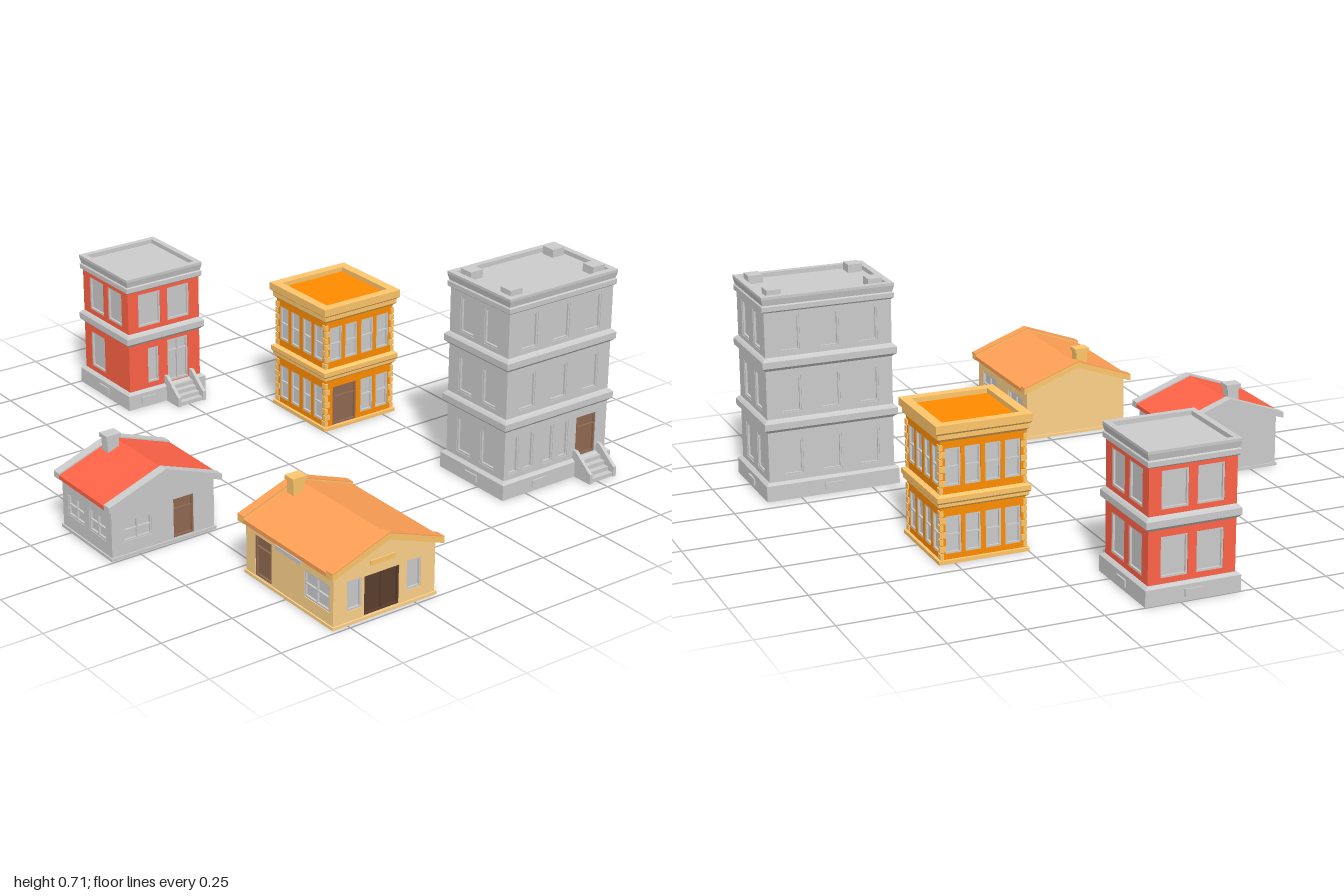
import * as THREE from 'three';

const GREY = 0xcccccc, RED = 0xff6347, ORANGE = 0xff8c00, TAN = 0xffc66b, SAND = 0xffd28a, ROOF = 0xffa055, BROWN = 0x906a52, DARK = 0x5a3d2e;
const WALL = 0.014; // wall thickness
const materials = {};
const mat = (c) => (materials[c] ??= new THREE.MeshStandardMaterial({ color: c, flatShading: true }));

function add(parent, name, geometry, color, x = 0, y = 0, z = 0) {
  const mesh = new THREE.Mesh(geometry, mat(color));
  mesh.name = name;
  mesh.position.set(x, y, z);
  parent.add(mesh);
  return mesh;
}
const box = (parent, name, w, h, d, color, x, y, z) => add(parent, name, new THREE.BoxGeometry(w, h, d), color, x, y, z);

function group(parent, name, x = 0, z = 0, turn = 0) {
  const g = new THREE.Group();
  g.name = name;
  g.position.set(x, 0, z);
  g.rotation.y = turn;
  parent.add(g);
  return g;
}
const polygon = (points) => new THREE.Shape(points.map(([x, y]) => new THREE.Vector2(x, y)));
const extrude = (shape, depth) => new THREE.ExtrudeGeometry(shape, { depth, bevelEnabled: false });

// Moulding swept around a rectangle; profile holds [outward offset, height]
function moulding(hx, hz, profile) {
  const rings = profile.map(([o, y]) => [[1, 1], [1, -1], [-1, -1], [-1, 1]].map(([sx, sz]) => [sx * (hx + o), y, sz * (hz + o)]));
  const pos = [];
  const quad = (a, b, c, d) => pos.push(...a, ...b, ...c, ...a, ...c, ...d);
  for (let i = 0; i + 1 < rings.length; i++) {
    for (let k = 0; k < 4; k++) {
      const n = (k + 1) % 4;
      quad(rings[i][k], rings[i][n], rings[i + 1][n], rings[i + 1][k]);
    }
  }
  quad(...rings[rings.length - 1]);
  quad(...[...rings[0]].reverse());
  const geometry = new THREE.BufferGeometry();
  geometry.setAttribute('position', new THREE.Float32BufferAttribute(pos, 3));
  geometry.computeVertexNormals();
  return geometry;
}

// Window or door set back in its opening
function fitting(parent, { u, y, w, h, kind }, dist) {
  const isDoor = kind === 'door' || kind === 'doubleDoor' || kind === 'glassDoor';
  const g = group(parent, isDoor ? 'door' : 'window', u, dist);
  const color = kind === 'door' ? BROWN : kind === 'doubleDoor' ? DARK : GREY;
  box(g, isDoor ? 'leaf' : 'pane', w, h, 0.004, color, 0, y + h / 2, -0.011);
  const f = 0.006, bar = (bw, bh, x, by) => box(g, 'frameBar', bw, bh, 0.008, color, x, by, -0.006);
  for (const s of [-1, 1]) {
    bar(f, h, s * (w - f) / 2, y + h / 2);
    bar(w - 2 * f, f, 0, y + h / 2 + s * (h - f) / 2);
  }
  if (kind === 'cross' || kind === 'glassDoor' || kind === 'doubleDoor') bar(0.005, h - 2 * f, 0, y + h / 2);
  if (kind !== 'plain' && kind !== 'doubleDoor') bar(w - 2 * f, 0.005, 0, y + h * (isDoor ? 0.72 : 0.5));
}

// Wall with openings, facing one of four directions (0 front, 1 left, 2 back, 3 right)
function facade(parent, side, dist, outline, color, openings) {
  const g = group(parent, ['frontWall', 'leftWall', 'backWall', 'rightWall'][side], 0, 0, side * Math.PI / 2);
  const shape = polygon(outline);
  for (const { u, y, w, h } of openings) {
    const l = u - w / 2, r = u + w / 2;
    shape.holes.push(new THREE.Path([[l, y], [l, y + h], [r, y + h], [r, y]].map((p) => new THREE.Vector2(...p))));
  }
  add(g, 'wall', extrude(shape, WALL), color, 0, 0, dist - WALL);
  openings.forEach((o) => fitting(g, o, dist));
  return g;
}
const rect = (hw, y0, y1) => [[-hw, y0], [hw, y0], [hw, y1], [-hw, y1]];
const row = (us, y, w, h, kind = 'plain') => us.map((u) => ({ u, y, w, h, kind }));

function fourWalls(parent, hx, hz, y0, y1, color, openings) {
  return openings.map((list, side) => facade(parent, side, side % 2 ? hx : hz, rect(side % 2 ? hz - WALL : hx, y0, y1), color, list));
}

// Entrance steps between sloping cheeks, on the wall that faces local +z
function stairs(wall, u, dist) {
  const g = group(wall, 'entranceSteps', u, dist);
  const cheek = polygon([[0, 0], [0.09, 0], [0.09, 0.035], [0.08, 0.04], [0.015, 0.092], [0, 0.092]]);
  for (const x of [-0.058, 0.046]) {
    add(g, 'cheek', extrude(cheek, 0.012), GREY, x).rotation.y = -Math.PI / 2;
    g.children.at(-1).position.x += 0.012;
  }
  for (let i = 0; i < 4; i++) {
    const d = 0.085 - i * 0.02, h = 0.014;
    box(g, 'step', 0.094, h, d, GREY, 0, h * (i + 0.5), d / 2);
  }
}

// Town house with a stone base, rounded bands and a parapet
function townHouse(root, name, x, z, hx, hz, floors, color, openings, entranceU) {
  const g = group(root, name, x, z);
  const top = 0.06 + floors * 0.213;
  add(g, 'base', moulding(hx, hz, [[0.014, 0], [0.014, 0.054], [0.004, 0.062], [-0.02, 0.062]]), GREY);
  const walls = fourWalls(g, hx, hz, 0.055, top - 0.03, color, openings);
  for (let f = 1; f < floors; f++) {
    const y = 0.022 + f * 0.213;
    add(g, 'band', moulding(hx, hz, [[0, y], [0.006, y + 0.006], [0.013, y + 0.012], [0.013, y + 0.034], [0.006, y + 0.042], [0, y + 0.046]]), GREY);
  }
  const p = top - 0.053;
  add(g, 'parapet', moulding(hx, hz, [[0, p], [0.008, p + 0.006], [0.008, p + 0.022], [0.004, p + 0.026], [0.009, top - 0.006],
    [0.009, top + 0.003], [-0.012, top + 0.003], [-0.012, top - 0.012]]), GREY);
  walls.forEach((wall, side) => {
    const u = side === 1 ? -0.08 : 0;
    box(wall, 'cellarWindow', 0.06, 0.024, 0.008, GREY, u, 0.028, (side % 2 ? hx : hz) + 0.015);
  });
  stairs(walls[1], entranceU, hx);
  return g;
}

// Bungalow with a gable roof; the ridge runs along x
function bungalow(root, name, x, z, hx, hz, wallColor, roofColor, endColor, front, gable, back) {
  const g = group(root, name, x, z);
  const under = (s) => 0.252 - 0.36 * s;
  add(g, 'plinth', moulding(hx, hz, [[0.005, 0], [0.005, 0.01]]), wallColor);
  const e = hz - WALL;
  const pentagon = [[-e, 0.005], [e, 0.005], [e, under(e)], [0, under(0)], [-e, under(e)]];
  [front, gable, back, []].forEach((list, side) =>
    facade(g, side, side % 2 ? hx : hz, side % 2 ? pentagon : rect(hx, 0.005, under(hz)), wallColor, list));
  const R = 0.208;
  const roof = (part, x0, x1, lo, hi, color) => {
    const shape = polygon([[-R, lo - 0.075], [0, lo], [R, lo - 0.075], [R, hi - 0.075], [0, hi], [-R, hi - 0.075]].map(([s, y]) => [s, y]));
    add(g, part, extrude(shape, x1 - x0), color, x0).rotation.y = Math.PI / 2;
  };
  roof('roof', -hx + 0.012, hx - 0.012, 0.252, 0.266, roofColor);
  for (const s of [-1, 1]) {
    const a = s * (hx - 0.012), b = s * (hx + 0.02);
    roof('gableTrim', Math.min(a, b), Math.max(a, b), 0.25, 0.271, endColor);
    if (endColor !== GREY) roof('gableRoofing', Math.min(a, b), Math.max(a, b), 0.271, 0.274, roofColor);
  }
  // chimney
  const cx = -hx + 0.045;
  box(g, 'chimney', 0.036, 0.07, 0.042, endColor, cx, 0.255, 0.036);
  box(g, 'chimneyCap', 0.044, 0.014, 0.054, endColor, cx, 0.298, 0.036);
  return g;
}

export function createModel() {
  const root = new THREE.Group();
  root.name = 'village';

  // Red town house
  const pair = [-0.06, 0.06];
  const upper = row(pair, 0.298, 0.09, 0.122);
  const lower = row(pair, 0.08, 0.09, 0.132);
  townHouse(root, 'redTownHouse', -0.838, 0.044, 0.147, 0.147, 2, RED, [
    [...upper, ...row([-0.06], 0.08, 0.09, 0.132)],
    [...upper, ...row([-0.112, -0.048], 0.08, 0.044, 0.132), ...row([0.054], 0.064, 0.085, 0.16, 'glassDoor')],
    [...upper, ...lower],
    [...upper, ...lower],
  ], 0.054);

  // Tall grey apartment house
  const floors = (us) => [0.08, 0.298, 0.508].flatMap((y) => row(us, y, 0.07, 0.124));
  const three = [-0.135, 0, 0.135];
  const tall = townHouse(root, 'apartmentHouse', 0.467, -0.635, 0.147, 0.22, 3, GREY, [
    floors(pair),
    [...floors(three).slice(3), ...row([-0.183, -0.12, -0.035, 0.031], 0.08, 0.043, 0.132), ...row([0.13], 0.064, 0.085, 0.142, 'door')],
    floors(pair),
    floors(three),
  ], 0.135);
  for (const x of [-0.098, 0.098]) for (const z of [-0.175, 0.175]) box(tall, 'roofBox', 0.05, 0.03, 0.05, GREY, x, 0.7, z);

  // Orange brick house
  const brick = group(root, 'brickHouse', -0.288, -0.4);
  const H = 0.143;
  const quad = [-0.1, -0.034, 0.034, 0.1];
  const twoRows = [...row(quad, 0.03, 0.052, 0.125, 'sash'), ...row(quad, 0.252, 0.052, 0.125, 'sash')];
  fourWalls(brick, H, H, 0.005, 0.43, ORANGE, [
    twoRows,
    [...twoRows.slice(2), ...row([-0.062], 0.012, 0.1, 0.143, 'door')],
    twoRows, twoRows,
  ]);
  add(brick, 'plinth', moulding(H, H, [[0.01, 0], [0.01, 0.012], [-0.01, 0.012]]), TAN);
  add(brick, 'band', moulding(H, H, [[0, 0.182], [0.01, 0.19], [0.01, 0.2], [0.015, 0.206], [0.015, 0.222], [0, 0.228]]), TAN);
  add(brick, 'cornice', moulding(H, H, [[0, 0.4], [0.01, 0.41], [0.01, 0.425], [0.018, 0.432], [0.018, 0.458], [-0.014, 0.458], [-0.014, 0.44]]), TAN);
  add(brick, 'roofDeck', moulding(H - 0.014, H - 0.014, [[0, 0.43], [0, 0.442]]), ORANGE);
  for (const sx of [-1, 1]) for (const sz of [-1, 1]) for (const y0 of [0.024, 0.24]) {
    for (let i = 0; i < 7; i++) {
      const a = i % 2 ? 0.012 : 0.02, b = i % 2 ? 0.02 : 0.012;
      box(brick, 'cornerStone', a, 0.019, b, TAN, sx * (H + 0.004 - a / 2), y0 + i * 0.0235, sz * (H + 0.004 - b / 2));
    }
  }

  // Grey bungalow with a red roof
  bungalow(root, 'greyBungalow', 0.094, 0.657, 0.145, 0.19, GREY, RED, GREY,
    row([-0.065, 0.063], 0.055, 0.1, 0.078, 'cross'),
    [...row([-0.096], 0.052, 0.106, 0.076, 'cross'), ...row([0.075], 0.012, 0.075, 0.135, 'door')],
    row([-0.065, 0.063], 0.055, 0.1, 0.078, 'cross'));

  // Sand-coloured bungalow with an orange roof
  const sand = bungalow(root, 'sandBungalow', 0.76, 0.36, 0.222, 0.19, SAND, ROOF, TAN,
    [...row([-0.132], 0.012, 0.086, 0.138, 'door'), ...row([0.14], 0.05, 0.126, 0.09, 'cross')],
    [...row([-0.113, 0.11], 0.045, 0.054, 0.1), ...row([-0.011], 0.012, 0.13, 0.13, 'doubleDoor')],
    row([-0.12, 0.12], 0.05, 0.126, 0.09, 'cross'));
  box(sand, 'frontPlaque', 0.13, 0.014, 0.006, GREY, 0, 0.155, 0.192);
  box(sand, 'gablePlaque', 0.006, 0.016, 0.09, TAN, 0.224, 0.182, 0.011);
  return root;
}
